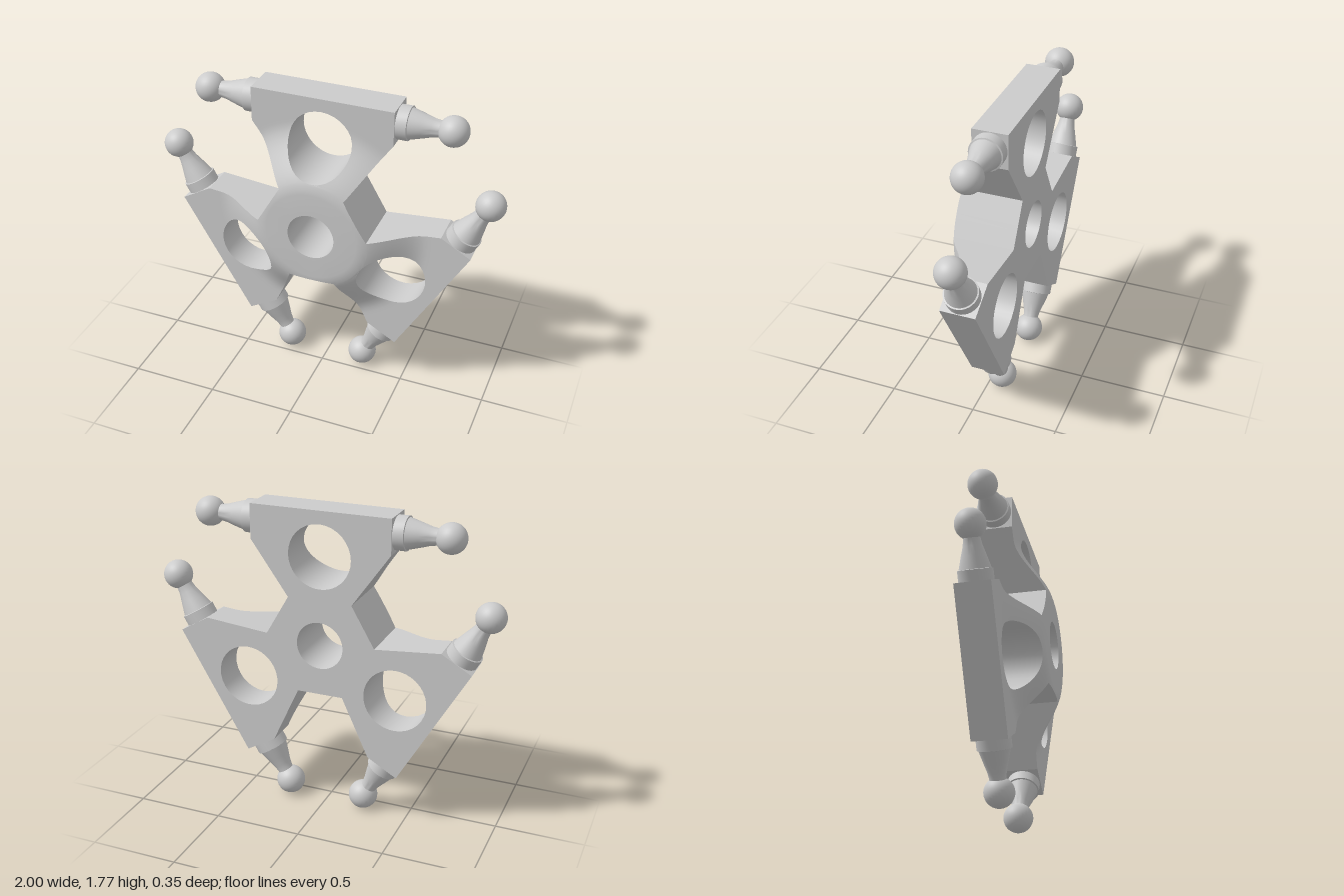
import * as THREE from 'three';
import { mergeGeometries, toCreasedNormals } from 'three/addons/utils/BufferGeometryUtils.js';

const CENTRE_Y = 1.011, BACK = -0.177, FLAT = 0.018, HUB = 0.177;
const HALF = THREE.MathUtils.degToRad(35.4);    // half angle of an arm
const TURN = Math.PI * 2 / 3;
const R_IN = 0.319, R_OUT = 0.692, TIP = 0.76;  // arm root, arm shoulder, arm end
const BORE = 0.135, HOLE_D = 0.507, HOLE_R = 0.18;
const { lerp, smoothstep } = THREE.MathUtils;

const polar = (r, a) => [r * Math.sin(a), r * Math.cos(a)];
// front surface height: raised hub flowing down into flat arms
const height = (x, y) => lerp(HUB, FLAT, smoothstep(Math.hypot(x, y), 0.265, 0.615));
const front = ([x, y]) => [x, y, height(x, y)];

// surface grid from a rule P(i, j) giving a point
function grid(P, nu, nv) {
  const pos = [];
  for (let i = 0; i < nu; i++) for (let j = 0; j < nv; j++) {
    const a = P(i, j), b = P(i + 1, j), c = P(i + 1, j + 1), d = P(i, j + 1);
    pos.push(...a, ...b, ...c, ...a, ...c, ...d);
  }
  const g = new THREE.BufferGeometry();
  g.setAttribute('position', new THREE.Float32BufferAttribute(pos, 3));
  return g;
}

// wall along a closed clockwise path, from the back up to the front surface
function wall(path, inward) {
  return grid((i, j) => {
    const p = path[i % path.length];
    return (j === 0) === inward ? [...p, BACK] : front(p);
  }, path.length, 1);
}

// radii along an arm, matched to the round hole
const N = 18, radii = [R_IN];
for (let i = 0; i <= N; i++) radii.push(HOLE_D - HOLE_R * Math.cos(Math.PI * i / N));
radii.push(R_OUT);
const holeAngle = r =>
  Math.acos(Math.min(1, (r * r + HOLE_D ** 2 - HOLE_R ** 2) / (2 * r * HOLE_D)));

function createBody() {
  const parts = [], outline = [], bore = [], holes = [], rim = [];
  const tipX = R_OUT * Math.sin(HALF);

  for (let k = 0; k < 3; k++) {
    const t = k * TURN;
    const at = (r, a) => polar(r, a + t);
    const flat = (x, y) => at(Math.hypot(x, y), Math.atan2(x, y));

    // arm front, on both sides of the hole
    for (const s of [-1, 1]) {
      parts.push(grid((i, j) => {
        const r = radii[j], u = i / 6;
        const a = s > 0 ? lerp(holeAngle(r), HALF, u) : lerp(-HALF, -holeAngle(r), u);
        return front(at(r, a));
      }, 6, radii.length - 1));
    }

    // flat end of the arm
    parts.push(grid((i, j) => {
      const [x, y] = polar(R_OUT, lerp(-HALF, HALF, i / 12));
      return front(flat(x, j ? TIP : y));
    }, 12, 1));

    // hole path, clockwise
    const hole = [];
    for (let i = N; i >= 0; i--) hole.push(at(radii[i + 1], holeAngle(radii[i + 1])));
    for (let i = 1; i < N; i++) hole.push(at(radii[i + 1], -holeAngle(radii[i + 1])));
    holes.push(hole);

    // outline: up one side, across the end, down the other side
    for (const r of radii) outline.push(at(r, -HALF));
    outline.push(flat(-tipX, TIP), flat(tipX, TIP));
    for (const r of [...radii].reverse()) outline.push(at(r, HALF));

    // hub rim: arc under the arm, straight edge between arms
    for (let i = 0; i < 12; i++) {
      const a = lerp(-HALF, HALF, i / 12);
      rim.push([a + t, R_IN]);
    }
    const gap = TURN / 2 - HALF;
    for (let i = 0; i < 8; i++) {
      const d = lerp(-gap, gap, i / 8);
      const r = R_IN * Math.cos(gap) / Math.cos(d);
      rim.push([TURN / 2 + d + t, r]);
      if (i) outline.push(at(r, TURN / 2 + d));
    }
  }

  // hub front, around the bore
  for (const [a] of rim) bore.push(polar(BORE, a));
  parts.push(grid((i, j) => {
    const [a, r] = rim[i % rim.length];
    return front(polar([BORE, 0.265, lerp(0.265, r, 0.5), r][j], a));
  }, rim.length, 3));

  // side walls and hole walls
  parts.push(wall(outline, false), wall(bore, true), ...holes.map(h => wall(h, true)));

  // flat back
  const vec = path => path.map(p => new THREE.Vector2(...p));
  const shape = new THREE.Shape(vec(outline));
  shape.holes = [bore, ...holes].map(p => new THREE.Path(vec(p)));
  const back = new THREE.ShapeGeometry(shape).toNonIndexed();
  back.deleteAttribute('uv');
  back.deleteAttribute('normal');
  parts.push(back.rotateY(Math.PI).translate(0, 0, BACK));

  return toCreasedNormals(mergeGeometries(parts), 0.5);
}

// collar and tapered neck, turned about y from the arm's end face
function createNeck() {
  const profile = [[0, -0.02], [0.093, -0.02], [0.093, 0.06], [0.085, 0.062],
    [0.066, 0.13], [0.051, 0.18], [0.045, 0.215], [0.045, 0.26]];
  const g = new THREE.LatheGeometry(profile.map(p => new THREE.Vector2(...p)), 32);
  return toCreasedNormals(g, 0.5);
}

export function createModel() {
  const model = new THREE.Group();
  model.name = 'threeArmBallStudHub';
  const material = new THREE.MeshStandardMaterial({ color: 0xcccccc });
  const add = (parent, geometry, name) => {
    const mesh = new THREE.Mesh(geometry, material);
    mesh.name = name;
    parent.add(mesh);
    return mesh;
  };

  const body = new THREE.Group();
  body.name = 'hub';
  body.position.y = CENTRE_Y;
  model.add(body);
  add(body, createBody(), 'armPlate');

  // a ball stud on each side of each arm end
  const neck = createNeck(), ball = new THREE.SphereGeometry(0.083, 32, 20);
  for (let k = 0; k < 3; k++) {
    const arm = new THREE.Group();
    arm.name = 'armStuds';
    arm.rotation.z = -k * TURN;
    body.add(arm);
    for (const s of [-1, 1]) {
      const stud = new THREE.Group();
      stud.name = s > 0 ? 'leftStud' : 'rightStud';
      stud.position.set(s * 0.4, 0.663, (FLAT + BACK) / 2);
      stud.rotation.z = -s * Math.PI / 2;
      add(stud, neck, 'neck');
      add(stud, ball, 'ball').position.y = 0.29;
      arm.add(stud);
    }
  }
  return model;
}
